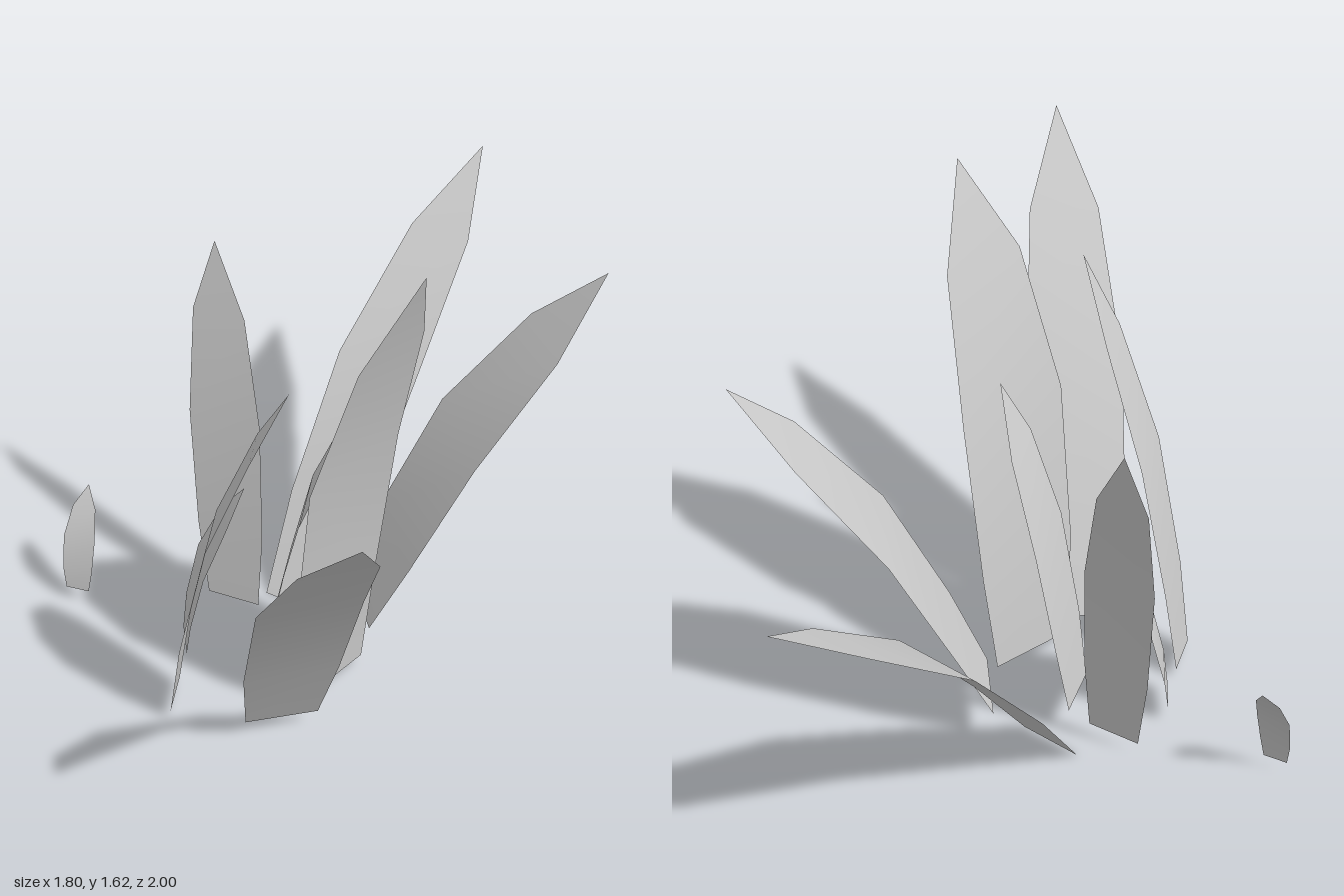
import * as THREE from 'three';

// Shared blade rule, from base to tip: height, outward lean and width at each level
const RISE = [0, 0.21, 0.535, 0.815, 1];
const LEAN = [0, 0.15, 0.41, 0.75, 1];
const WIDTH = [1, 1.28, 1.38, 1];

// base and tip are [x, y, z]; across is the base width as [x, z];
// bend above 1 keeps the blade upright for longer
const BLADES = [
  { name: 'backLeaningBlade', base: [-0.35, 0, 0.145], tip: [-0.68, 1.06, -1], across: [0.2, -0.055], bend: 0.92, rise: 0.9 },
  { name: 'backBlade', base: [-0.13, 0.1, 0.07], tip: [0.25, 1.19, -0.59], across: [0.24, 0.137], bend: 1 },
  { name: 'tallBlade', base: [0.025, 0.035, 0.33], tip: [0.38, 1.625, 0.28], across: [0.034, 0.28], bend: 1.4 },
  { name: 'frontLeaningBlade', base: [0.065, 0.05, 0.565], tip: [0.9, 1.39, 1], across: [0.11, -0.19], bend: 1 },
  { name: 'frontBlade', base: [-0.25, 0.03, 0.715], tip: [0.18, 1.3, 0.6], across: [0.1, 0.12], bend: 1.15 },
  { name: 'middleBlade', base: [-0.275, 0.075, 0.295], tip: [0.07, 1.03, 0.23], across: [0.12, 0.15], bend: 1.05 },
  { name: 'sideBlade', base: [-0.465, 0.04, 0.295], tip: [-0.67, 1.2, 0.14], across: [0.16, -0.065], bend: 1.1 },
  { name: 'shortBlade', base: [-0.41, 0.045, 0.54], tip: [-0.32, 0.58, 0.355], across: [0.108, 0.078], bend: 1.35 },
  { name: 'sproutBlade', base: [-0.832, 0.045, 0.625], tip: [-0.887, 0.367, 0.51], across: [0.067, -0.035], bend: 1.4 },
];

// A thin leaf: four left/right pairs closed by a pointed tip
function bladeGeometry({ base, tip, across, bend, rise = 1 }) {
  const points = [];
  const faces = [];
  WIDTH.forEach((width, i) => {
    const lean = LEAN[i] ** bend;
    const x = THREE.MathUtils.lerp(base[0], tip[0], lean);
    const y = THREE.MathUtils.lerp(base[1], tip[1], RISE[i] ** rise);
    const z = THREE.MathUtils.lerp(base[2], tip[2], lean);
    for (const side of [-0.5, 0.5]) {
      points.push(x + side * width * across[0], y, z + side * width * across[1]);
    }
    const a = i * 2;
    if (i < WIDTH.length - 1) faces.push(a, a + 1, a + 3, a, a + 3, a + 2);
    else faces.push(a, a + 1, a + 2);
  });
  points.push(...tip);

  const geometry = new THREE.BufferGeometry();
  geometry.setAttribute('position', new THREE.Float32BufferAttribute(points, 3));
  geometry.setIndex(faces);
  geometry.computeVertexNormals();
  return geometry;
}

export function createModel() {
  const group = new THREE.Group();
  group.name = 'grassTuft';
  const material = new THREE.MeshStandardMaterial({ color: 0xcccccc, side: THREE.DoubleSide });
  for (const blade of BLADES) {
    const mesh = new THREE.Mesh(bladeGeometry(blade), material);
    mesh.name = blade.name;
    group.add(mesh);
  }
  return group;
}
